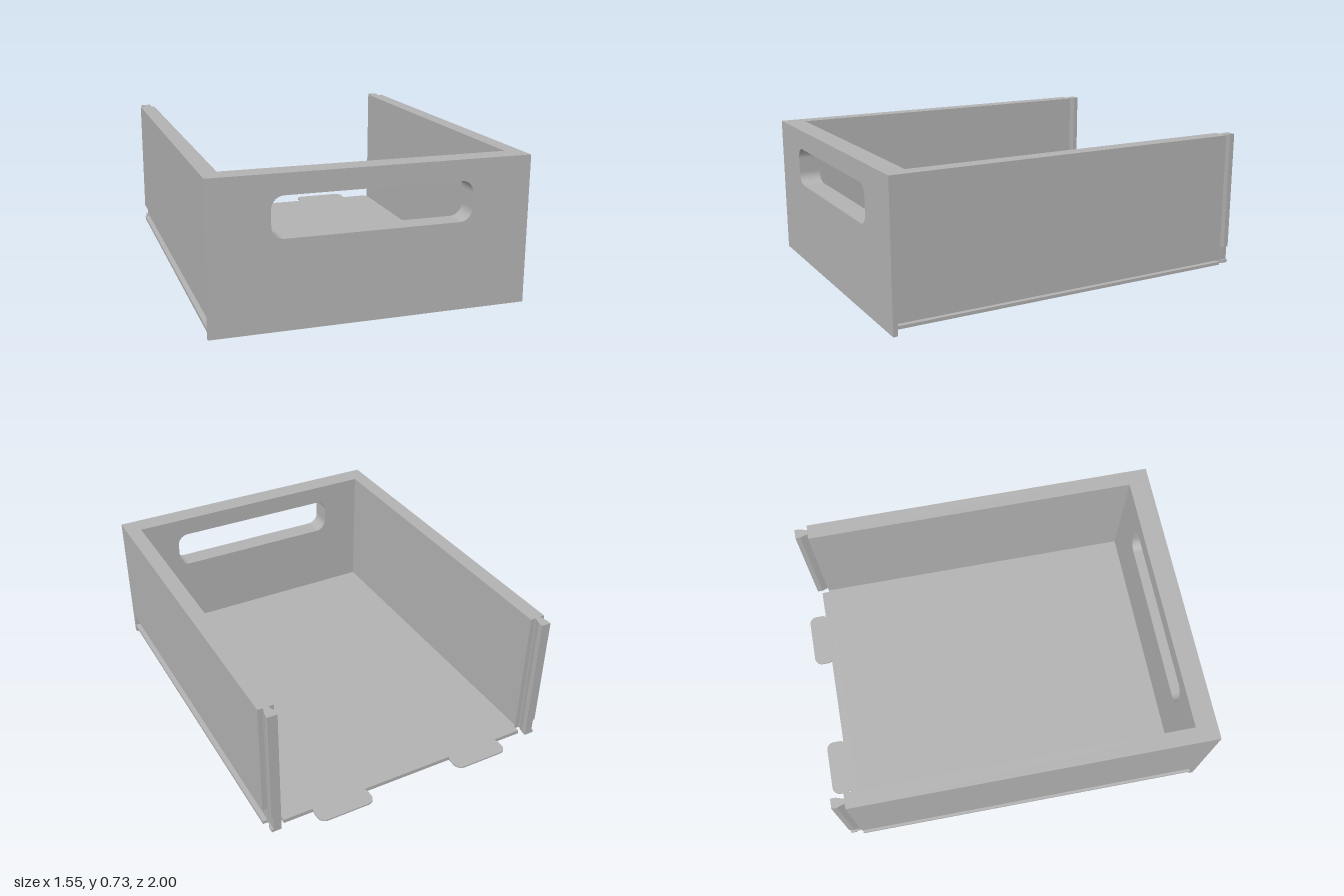
import * as THREE from 'three';

const grey = new THREE.MeshStandardMaterial({ color: 0xb2b2b2 });
grey.name = 'grey';

const W = 0.775, IN = 0.695, H = 0.73, BASE = 0.032, FLOOR = 0.053;

function polygon(points) {
  return new THREE.Shape(points.map(([x, y]) => new THREE.Vector2(x, y)));
}

function roundedRect(path, x0, y0, x1, y1, r) {
  path.moveTo(x0 + r, y0);
  path.lineTo(x1 - r, y0);
  path.absarc(x1 - r, y0 + r, r, -Math.PI / 2, 0);
  path.lineTo(x1, y1 - r);
  path.absarc(x1 - r, y1 - r, r, 0, Math.PI / 2);
  path.lineTo(x0 + r, y1);
  path.absarc(x0 + r, y1 - r, r, Math.PI / 2, Math.PI);
  path.lineTo(x0, y0 + r);
  path.absarc(x0 + r, y0 + r, r, Math.PI, Math.PI * 1.5);
  return path;
}

export function createModel() {
  const model = new THREE.Group();
  model.name = 'drawer';

  function add(name, geometry) {
    const mesh = new THREE.Mesh(geometry, grey);
    mesh.name = name;
    model.add(mesh);
  }
  // Outline in x, y swept from z0 to z1
  function sweepZ(name, shape, z0, z1) {
    const g = new THREE.ExtrudeGeometry(shape, { depth: z1 - z0, bevelEnabled: false, curveSegments: 8 });
    add(name, g.translate(0, 0, z0));
  }
  // Outline in x, -z raised from y0 to y1
  function raise(name, shape, y0, y1) {
    const g = new THREE.ExtrudeGeometry(shape, { depth: y1 - y0, bevelEnabled: false, curveSegments: 8 });
    add(name, g.rotateX(-Math.PI / 2).translate(0, y0, 0));
  }

  // Front panel with handle slot: outer face has a lip below the floor
  function panel(halfWidth, bottom) {
    const s = polygon([[-halfWidth, bottom], [halfWidth, bottom], [halfWidth, H], [-halfWidth, H]]);
    s.holes.push(roundedRect(new THREE.Path(), -0.483, 0.433, 0.483, 0.63, 0.06));
    return s;
  }
  sweepZ('frontFace', panel(W, 0), 0.977, 1);
  sweepZ('frontInner', panel(IN, BASE), 0.89, 0.977);

  // Floor, stepped in at the back corners
  raise('floor', polygon([
    [-IN, -0.977], [IN, -0.977], [IN, 0.865], [0.685, 0.865],
    [0.685, 0.905], [-0.685, 0.905], [-0.685, 0.865], [-IN, 0.865],
  ]), BASE, FLOOR);

  for (const s of [1, -1]) {
    const side = s > 0 ? 'left' : 'right';

    // Side wall with a runner groove along the outside
    sweepZ(side + 'Wall', polygon([
      [IN, BASE], [W, BASE], [W, 0.048], [0.75, 0.048],
      [0.75, 0.12], [W, 0.12], [W, H], [IN, H],
    ].map(([x, y]) => [s * x, y])), -0.865, 0.977);

    // Dovetail at the back edge, trimmed where the groove passes
    const dovetail = (outer) => polygon([
      [0.721, 0.86], [0.721, 0.872], [0.71, 0.905], [0.71, 0.932],
      [outer, 0.932], [outer, 0.905], [Math.min(outer, 0.749), 0.872], [0.749, 0.86],
    ].map(([x, y]) => [s * x, y]));
    raise(side + 'Dovetail', dovetail(0.76), 0.12, H);
    raise(side + 'DovetailTrimmed', dovetail(0.75), 0.048, 0.12);
    raise(side + 'DovetailFoot', dovetail(0.76), BASE, 0.048);

    // Rounded back tab: thin top plate over a smaller block
    const c = s * 0.388;
    const tab = new THREE.Shape();
    tab.moveTo(c - 0.137, 0.9);
    tab.quadraticCurveTo(c - 0.149, 0.912, c - 0.149, 0.93);
    tab.lineTo(c - 0.149, 0.96);
    tab.absarc(c - 0.109, 0.96, 0.04, Math.PI, Math.PI / 2, true);
    tab.lineTo(c + 0.109, 1);
    tab.absarc(c + 0.109, 0.96, 0.04, Math.PI / 2, 0, true);
    tab.lineTo(c + 0.149, 0.93);
    tab.quadraticCurveTo(c + 0.149, 0.912, c + 0.137, 0.9);
    raise(side + 'Tab', tab, 0.045, FLOOR);

    const block = roundedRect(new THREE.Shape(), c - 0.107, 0.87, c + 0.107, 0.957, 0.025);
    raise(side + 'TabBlock', block, BASE + 0.001, 0.046);
  }
  return model;
}
